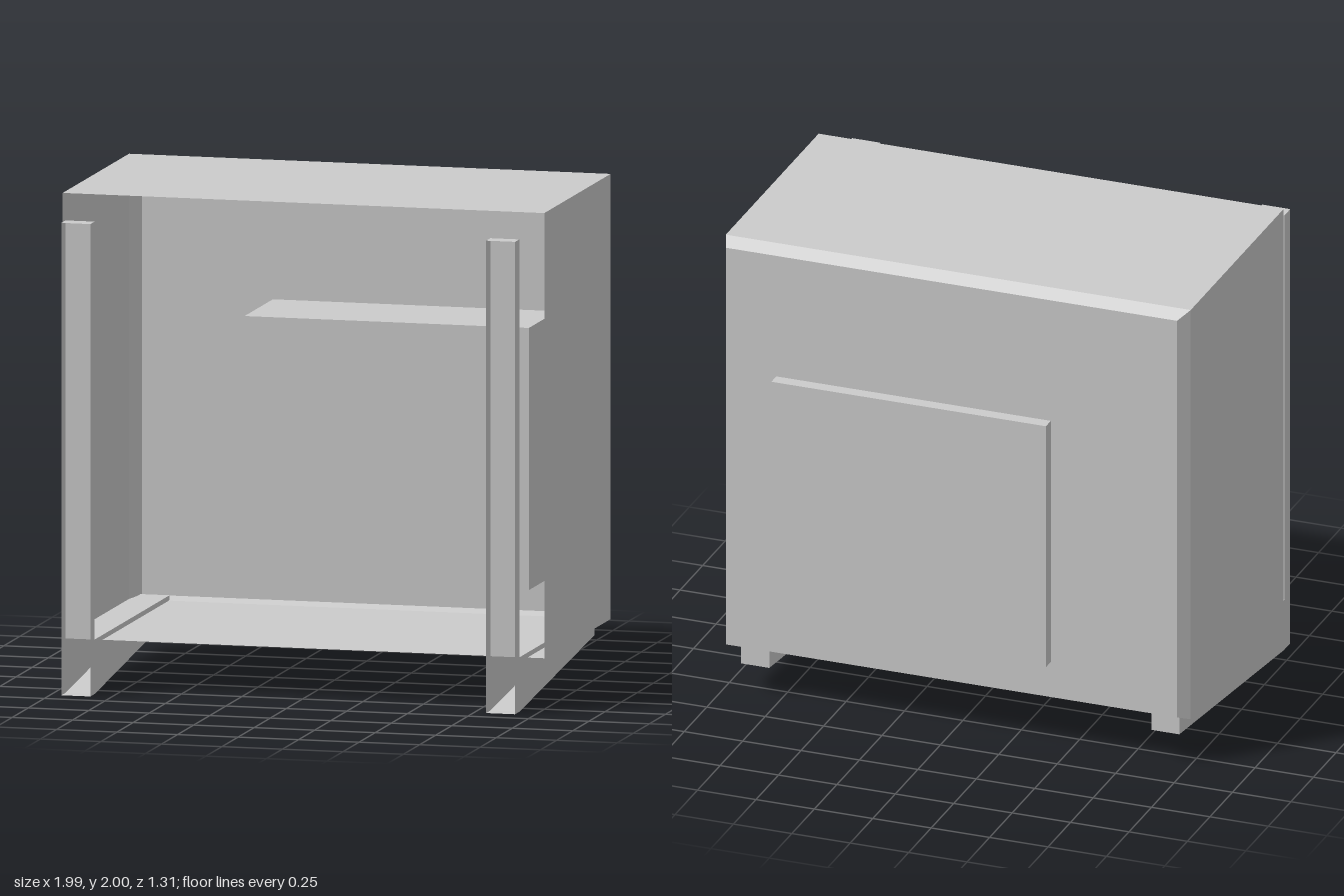
import * as THREE from 'three';

const material = new THREE.MeshStandardMaterial({ color: 0xcccccc, flatShading: true, side: THREE.DoubleSide });

function addMesh(parent, name, geometry) {
  const mesh = new THREE.Mesh(geometry, material);
  mesh.name = name;
  parent.add(mesh);
  return mesh;
}

// Skin joining successive rings of points; open rings leave a gap between last and first
function loft(rings, closed) {
  const pos = [];
  for (let r = 0; r < rings.length - 1; r++) {
    const a = rings[r], b = rings[r + 1];
    const count = closed ? a.length : a.length - 1;
    for (let i = 0; i < count; i++) {
      const j = (i + 1) % a.length;
      pos.push(...a[i], ...b[i], ...b[j], ...a[i], ...b[j], ...a[j]);
    }
  }
  const geometry = new THREE.BufferGeometry();
  geometry.setAttribute('position', new THREE.Float32BufferAttribute(pos, 3));
  geometry.computeVertexNormals();
  return geometry;
}

const rectRing = (x0, x1, y0, y1, z) => [[x0, y0, z], [x1, y0, z], [x1, y1, z], [x0, y1, z]];

// L-shaped channel: rail under the case and upright post, open along the front
function createBracket(name, x0, x1) {
  const bracket = new THREE.Group();
  bracket.name = name;
  const profile = [ // z, y
    [0.655, 0], [0.585, 0], [-0.575, 0.13], [-0.575, 0.22],
    [0.59, 0.22], [0.59, 1.91], [0.655, 1.91],
  ];
  const ring = (x) => profile.map(([z, y]) => [x, y, z]);
  addMesh(bracket, 'bracketWalls', loft([ring(x1), ring(x0)], false));

  const shape = new THREE.Shape(profile.map(([z, y]) => new THREE.Vector2(z, y)));
  for (const [side, x] of [['bracketRightSide', x0], ['bracketLeftSide', x1]]) {
    const geometry = new THREE.ShapeGeometry(shape).rotateY(-Math.PI / 2);
    if (x === x1) geometry.rotateY(Math.PI).scale(1, 1, -1);
    addMesh(bracket, side, geometry).position.x = x;
  }
  return bracket;
}

export function createModel() {
  const model = new THREE.Group();
  model.name = 'openCase';

  // Thin case, open at the front, with bevelled rear edges
  addMesh(model, 'caseWalls', loft([
    rectRing(-1, 0.99, 0.2, 2, 0.465),
    rectRing(-1, 0.99, 0.2, 2, -0.565),
    rectRing(-0.955, 0.975, 0.215, 1.96, -0.6),
  ], true));
  const back = addMesh(model, 'caseBack', new THREE.PlaneGeometry(1.93, 1.745).rotateY(Math.PI));
  back.position.set(0.01, 1.0875, -0.6);

  // Block set through the back panel
  const block = addMesh(model, 'rearBlock', new THREE.BoxGeometry(1.175, 1.06, 0.495));
  block.position.set(0.1725, 0.9, -0.4075);

  // Support brackets
  model.add(createBracket('rightBracket', -0.955, -0.835));
  model.add(createBracket('leftBracket', 0.8, 0.92));

  return model;
}
